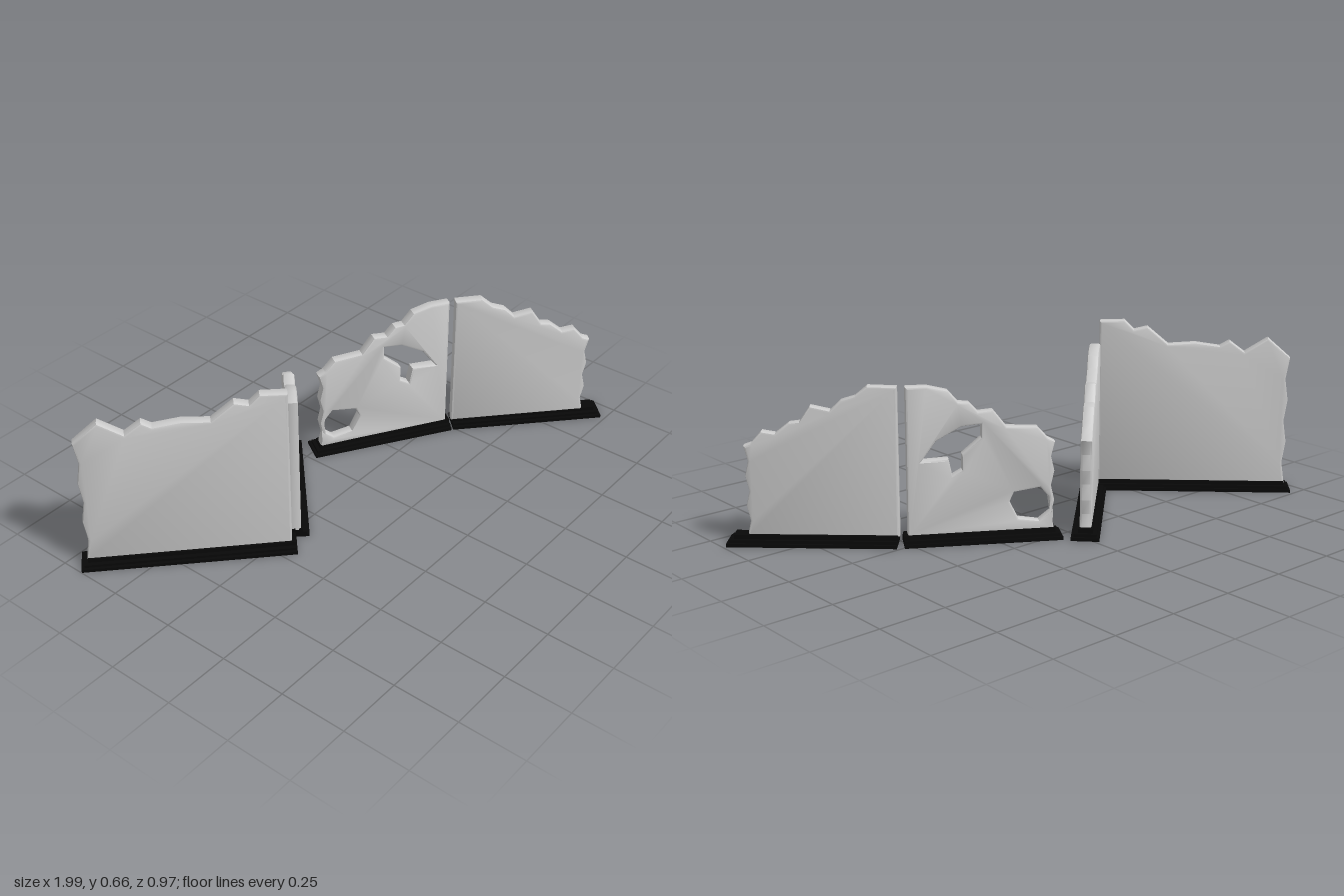
import * as THREE from 'three';
import { toCreasedNormals } from 'three/addons/utils/BufferGeometryUtils.js';

const stone = new THREE.MeshStandardMaterial({ color: 0xcccccc });
const black = new THREE.MeshStandardMaterial({ color: 0x080808 });
const THICK = 0.042;
const BEVEL = 0.008;
const FOOT = 0.03;

const vec = (x, y) => new THREE.Vector2(x, y);

// Lays an object along the ground from point a to point b (x, z)
function align(object, a, b) {
  object.position.set(a.x, 0, a.y);
  object.rotation.y = -b.clone().sub(a).angle();
  return object;
}

// Panel with a straight joint edge at a, a broken crest and a ragged free edge at b.
// Crest points are [distance from joint, height]; distances are fractions of the panel length.
function makePanel(name, a, b, crest, holes) {
  const length = a.distanceTo(b);
  const local = ([u, y]) => vec(u * length, y);
  const outline = [vec(0, FOOT), ...crest.map(local)];
  const endHeight = crest.at(-1)[1];
  const steps = 6;
  for (let i = 1; i <= steps; i++) {
    const notch = i % 2 ? 0.014 : 0.002;
    outline.push(vec(length - notch, THREE.MathUtils.lerp(endHeight, FOOT, i / steps)));
  }
  const shape = new THREE.Shape(outline);
  shape.holes = holes.map((hole) => new THREE.Path(hole.map(local)));
  const geo = new THREE.ExtrudeGeometry(shape, {
    depth: THICK - 2 * BEVEL, bevelEnabled: true, bevelSegments: 2,
    bevelThickness: BEVEL, bevelSize: BEVEL, bevelOffset: -BEVEL,
  });
  geo.translate(0, 0, BEVEL - THICK / 2);
  const mesh = new THREE.Mesh(toCreasedNormals(geo, 0.5), stone);
  mesh.name = name + 'Panel';
  return align(mesh, a, b);
}

// Three-tier plinth, stepped along both sides and at its free end b
function makeBase(name, a, b) {
  const group = new THREE.Group();
  group.name = name + 'Base';
  const length = a.distanceTo(b);
  let bottom = 0;
  for (const [height, inset] of [[0.012, 0], [0.01, 0.01], [0.015, 0.024]]) {
    const tier = new THREE.Mesh(new THREE.BoxGeometry(length - inset, height, 0.1 - 2 * inset), black);
    tier.position.set((length - inset) / 2, bottom + height / 2, 0);
    tier.name = 'plinthTier';
    group.add(tier);
    bottom += height;
  }
  return align(group, a, b);
}

function makeWall(name, panelEnds, baseEnds, crest, holes = []) {
  const wall = new THREE.Group();
  wall.name = name + 'Wall';
  wall.add(makePanel(name, ...panelEnds, crest, holes), makeBase(name, ...baseEnds));
  return wall;
}

export function createModel() {
  const model = new THREE.Group();
  model.name = 'ruinedWalls';

  // Tall wall on the far right side
  model.add(makeWall('tall',
    [vec(-0.432, 0.05), vec(-0.95, -0.44)], [vec(-0.423, 0.063), vec(-0.965, -0.452)],
    [[0, 0.655], [0.13, 0.658], [0.18, 0.622], [0.25, 0.634], [0.36, 0.568], [0.5, 0.575],
      [0.63, 0.562], [0.68, 0.583], [0.76, 0.54], [0.88, 0.595], [1, 0.52]]));

  // Low wall folding back from it
  model.add(makeWall('low',
    [vec(-0.39, 0.03), vec(-0.005, -0.334)], [vec(-0.39, 0.03), vec(0.021, -0.36)],
    [[0, 0.575], [0.14, 0.575], [0.25, 0.558], [0.32, 0.522], [0.46, 0.487], [0.56, 0.498],
      [0.65, 0.442], [0.74, 0.438], [0.84, 0.395], [0.94, 0.362], [1, 0.353]]));

  // Wall with two broken openings
  const upperHole = [[0.5, 0.422], [0.37, 0.417], [0.2, 0.37], [0.1, 0.3], [0.28, 0.305],
    [0.305, 0.243], [0.37, 0.262], [0.37, 0.318], [0.5, 0.375]];
  const lowerHole = [[0.955, 0.15], [0.9, 0.185], [0.72, 0.172], [0.69, 0.138], [0.75, 0.075], [0.89, 0.063], [0.97, 0.095]];
  model.add(makeWall('pierced',
    [vec(0.497, 0.029), vec(0.057, -0.239)], [vec(0.51, 0.035), vec(0.04, -0.257)],
    [[0, 0.563], [0.14, 0.563], [0.28, 0.545], [0.35, 0.503], [0.42, 0.5], [0.48, 0.466],
      [0.58, 0.47], [0.67, 0.41], [0.88, 0.403], [0.95, 0.362], [1, 0.348]],
    [upperHole, lowerHole]));

  // Plain end wall
  model.add(makeWall('plain',
    [vec(0.516, 0.046), vec(0.903, 0.405)], [vec(0.525, 0.045), vec(0.957, 0.447)],
    [[0, 0.563], [0.19, 0.566], [0.27, 0.53], [0.36, 0.515], [0.43, 0.48], [0.56, 0.495],
      [0.63, 0.44], [0.7, 0.435], [0.79, 0.397], [0.88, 0.405], [0.95, 0.362], [1, 0.353]]));

  return model;
}
